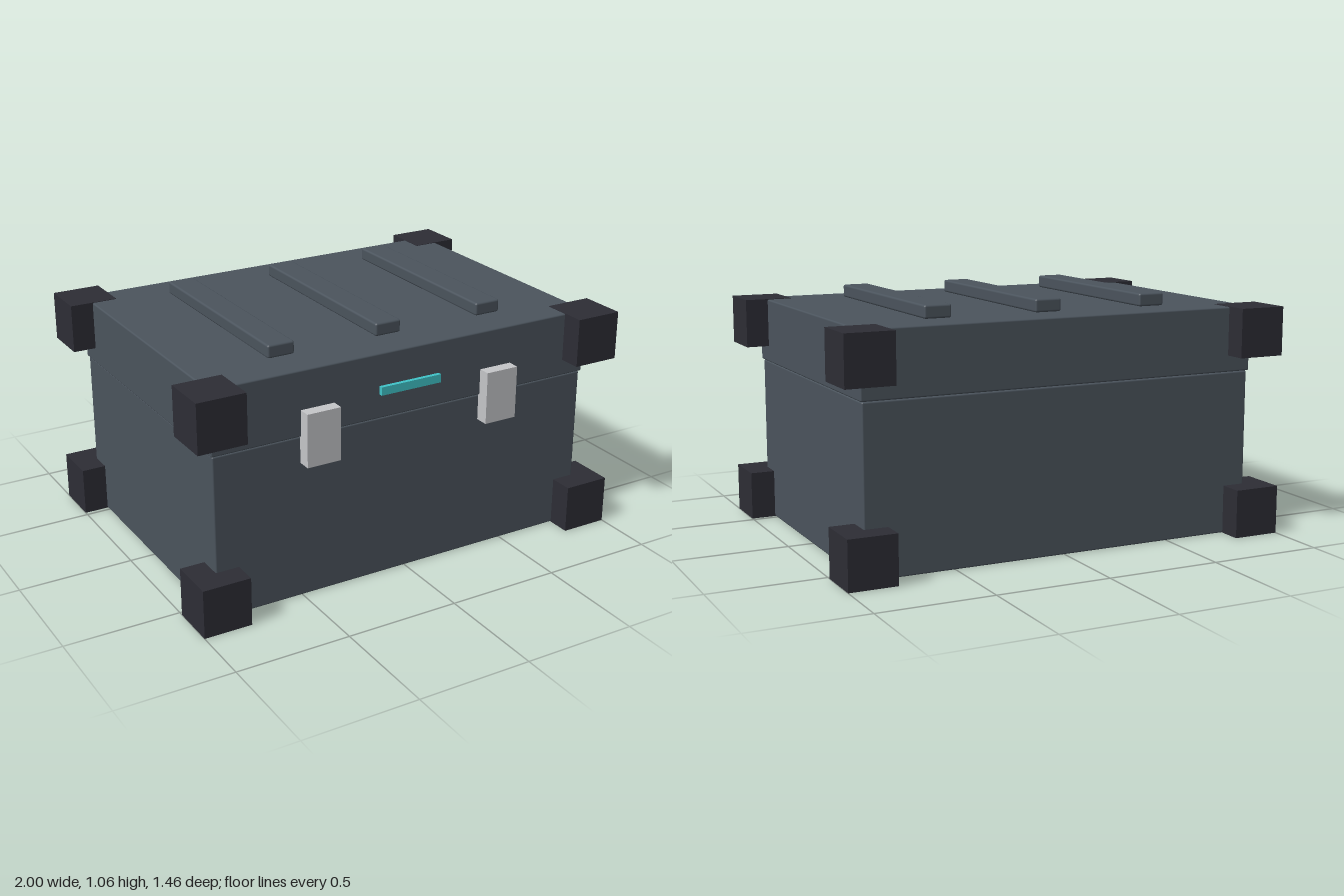
import * as THREE from 'three';
import { RoundedBoxGeometry } from 'three/addons/geometries/RoundedBoxGeometry.js';

const material = (name, color) => {
  const m = new THREE.MeshStandardMaterial({ color });
  m.name = name;
  return m;
};

export function createModel() {
  const group = new THREE.Group();
  const shell = material('slate shell', 0x4b545d);
  const guard = material('dark guard', 0x2d2d35);
  const metal = material('light metal', 0xc5c6c9);
  const glow = material('cyan strip', 0x40c4c9);

  // Box given by its centre and size; a radius softens the edges
  const box = (name, mat, [x, y, z], [w, h, d], radius = 0) => {
    const geometry = radius
      ? new RoundedBoxGeometry(w, h, d, 2, radius)
      : new THREE.BoxGeometry(w, h, d);
    const mesh = new THREE.Mesh(geometry, mat);
    mesh.name = name;
    mesh.position.set(x, y, z);
    group.add(mesh);
  };

  // Case body and slightly wider lid, with a fine seam between them
  box('body', shell, [0, 0.358, 0], [1.785, 0.716, 1.25], 0.007);
  box('lid', shell, [0, 0.859, 0], [1.8, 0.282, 1.264], 0.007);

  // Raised ribs on the lid
  for (const x of [-0.5, 0, 0.5]) {
    box('lidRib', shell, [x, 1.03, 0], [0.12, 0.056, 0.934], 0.009);
  }

  // Corner guards, a hair proud of the top and bottom
  for (const x of [-0.895, 0.895]) {
    for (const z of [-0.625, 0.625]) {
      box('lowerCornerGuard', guard, [x, 0.106, z], [0.21, 0.212, 0.21]);
      box('upperCornerGuard', guard, [x, 0.896, z], [0.21, 0.212, 0.21]);
    }
  }

  // Front latches and light strip
  for (const x of [-0.43, 0.43]) {
    box('latch', metal, [x, 0.718, 0.65], [0.152, 0.23, 0.07]);
  }
  box('lightStrip', glow, [0, 0.842, 0.635], [0.286, 0.036, 0.03]);

  return group;
}
